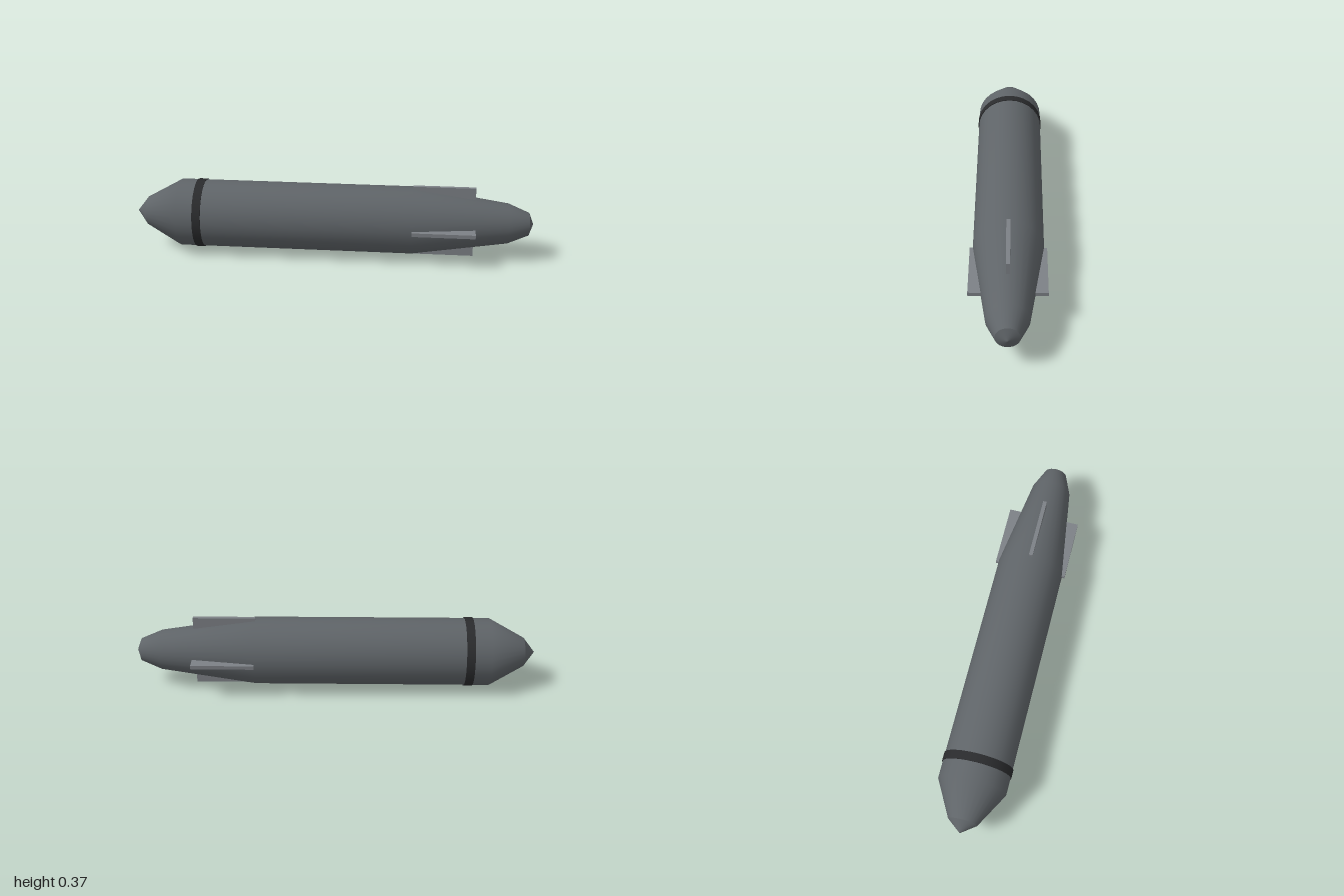
import * as THREE from 'three';

const AXIS_Y = 0.183;
const SIDES = 28;

export function createModel() {
  const bodyGrey = new THREE.MeshStandardMaterial({ name: 'body grey', color: 0x5f6468 });
  const finGrey = new THREE.MeshStandardMaterial({ name: 'fin grey', color: 0x7d8186 });
  const bandBlack = new THREE.MeshStandardMaterial({ name: 'band black', color: 0x2a2b2d });

  const model = new THREE.Group();
  model.name = 'torpedo';

  // Revolves [x, radius] pairs around the long axis
  function revolve(name, profile, material) {
    const points = profile.map(([x, r]) => new THREE.Vector2(r, x));
    const geometry = new THREE.LatheGeometry(points, SIDES).rotateZ(-Math.PI / 2);
    const mesh = new THREE.Mesh(geometry, material);
    mesh.name = name;
    mesh.position.y = AXIS_Y;
    model.add(mesh);
  }

  // Hull with creased end caps
  revolve('noseCap', [[-1, 0], [-0.945, 0.072]], bodyGrey);
  revolve('hull', [[-0.945, 0.072], [-0.77, 0.169], [0.4, 0.169], [0.875, 0.1], [0.978, 0.057]], bodyGrey);
  revolve('tailCap', [[0.978, 0.057], [1, 0]], bodyGrey);

  // Dark band, each face separate so its edges stay sharp
  const [x0, x1, inner, outer] = [-0.687, -0.645, 0.16, 0.173];
  revolve('bandFront', [[x0, inner], [x0, outer]], bandBlack);
  revolve('bandOuter', [[x0, outer], [x1, outer]], bandBlack);
  revolve('bandBack', [[x1, outer], [x1, inner]], bandBlack);

  // Four tail fins
  for (let i = 0; i < 4; i++) {
    const geometry = new THREE.BoxGeometry(0.31, 0.083, 0.019).translate(0.555, 0.1415, 0);
    const fin = new THREE.Mesh(geometry, finGrey);
    fin.name = 'fin' + (i + 1);
    fin.position.y = AXIS_Y;
    fin.rotation.x = i * Math.PI / 2;
    model.add(fin);
  }

  return model;
}
